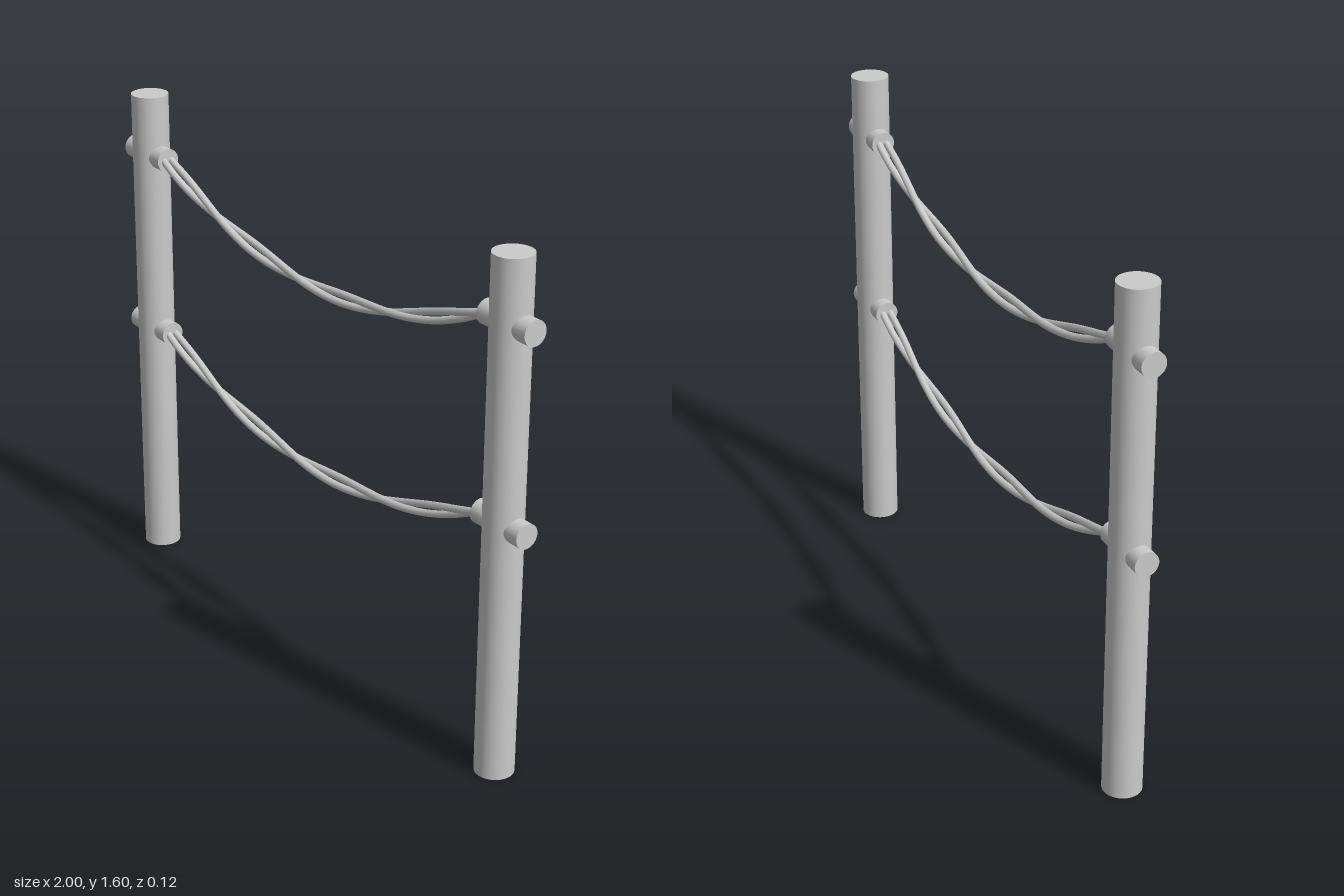
import * as THREE from 'three';

const material = new THREE.MeshStandardMaterial({ color: 0xcccccc });
const POST_X = 0.9, POST_H = 1.6, LEVELS = [1.4, 0.8];
const SAG = 0.18, HALF_SPAN = 0.805, STRAND_R = 0.0115, STRAND_OFFSET = 0.0125;

// One strand winding around a sagging centre line
class StrandCurve extends THREE.Curve {
  constructor(centre, phase) {
    super();
    this.centre = centre;
    this.phase = phase;
  }
  getPoint(t, target = new THREE.Vector3()) {
    const p = this.centre.getPointAt(t);
    const d = this.centre.getTangentAt(t);
    const a = this.phase - t * Math.PI * 4; // two full turns
    const up = Math.sin(a) * STRAND_OFFSET;
    return target.set(p.x - d.y * up, p.y + d.x * up, p.z + Math.cos(a) * STRAND_OFFSET);
  }
}

function addMesh(parent, name, geometry, x = 0, y = 0) {
  const mesh = new THREE.Mesh(geometry, material);
  mesh.name = name;
  mesh.position.set(x, y, 0);
  parent.add(mesh);
  return mesh;
}

// Two strands twisted together, hung between the pegs
function createRope(height) {
  const rope = new THREE.Group();
  rope.name = 'rope';
  const centre = new THREE.QuadraticBezierCurve3(
    new THREE.Vector3(-HALF_SPAN, 0, 0),
    new THREE.Vector3(0, -2 * SAG, 0),
    new THREE.Vector3(HALF_SPAN, 0, 0)
  );
  for (const phase of [0, Math.PI]) {
    addMesh(rope, 'ropeStrand',
      new THREE.TubeGeometry(new StrandCurve(centre, phase), 96, STRAND_R, 8));
  }
  rope.position.y = height;
  return rope;
}

export function createModel() {
  const model = new THREE.Group();
  model.name = 'ropeFence';

  const postGeometry = new THREE.CylinderGeometry(0.06, 0.06, POST_H, 32);
  const pegGeometry = new THREE.CylinderGeometry(0.038, 0.038, 0.2, 32).rotateZ(Math.PI / 2);

  // Posts, each with a peg through it at every rope level
  for (const side of [-1, 1]) {
    const name = side > 0 ? 'left' : 'right';
    addMesh(model, name + 'Post', postGeometry, side * POST_X, POST_H / 2);
    for (const y of LEVELS) addMesh(model, name + 'Peg', pegGeometry, side * POST_X, y);
  }

  for (const y of LEVELS) model.add(createRope(y));
  return model;
}
